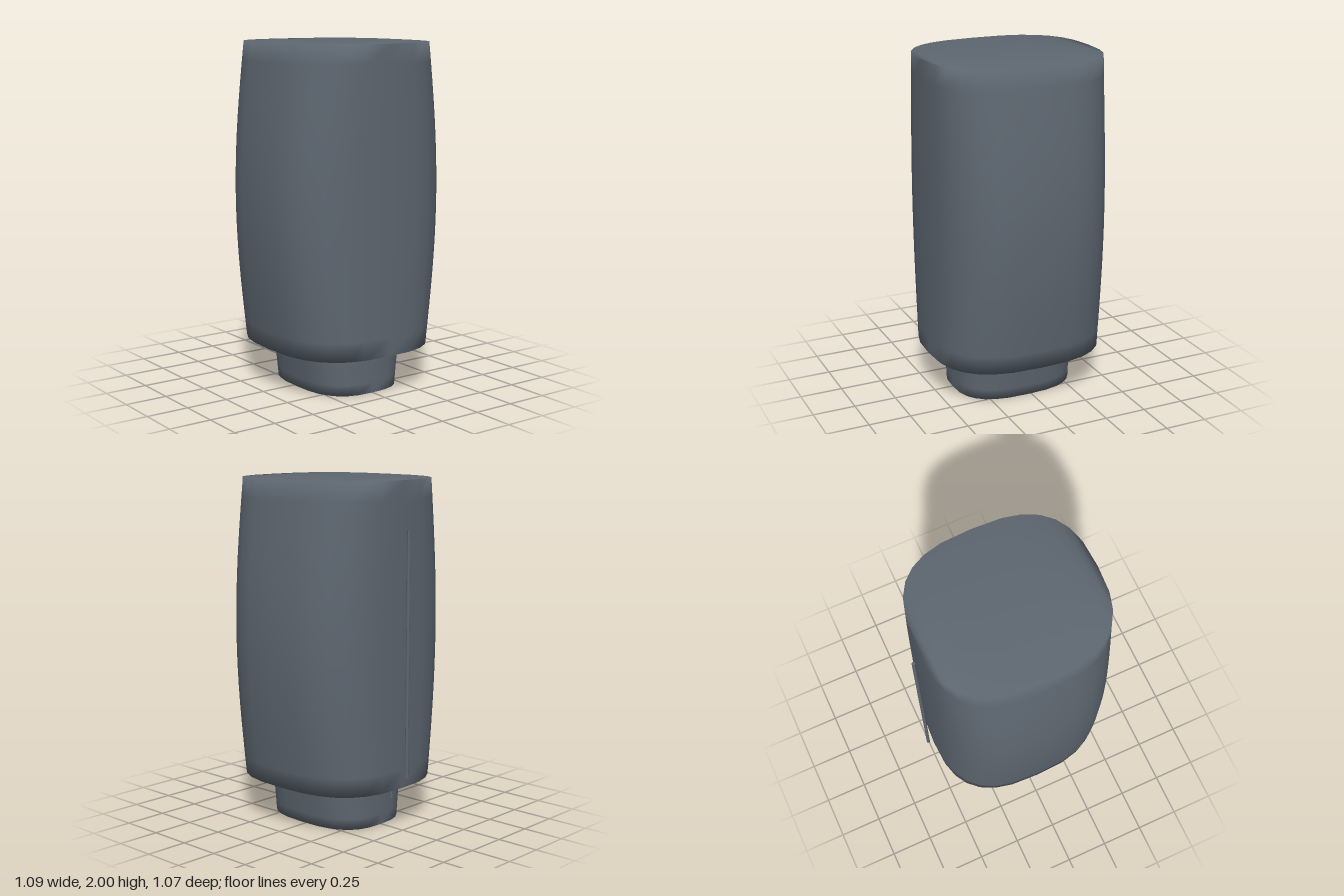
import * as THREE from 'three';

const SIDES = 28;

// Stack of rounded-square rings; caps share vertices with the wall so the rims shade softly.
function roundedColumn(y0, y1, rings, halfWidth, halfDepth) {
  const pos = [], idx = [];
  const soft = (v) => Math.sign(v) * Math.pow(Math.abs(v), 0.716);
  for (let r = 0; r <= rings; r++) {
    const t = r / rings;
    for (let i = 0; i < SIDES; i++) {
      const a = (i / SIDES) * Math.PI * 2;
      pos.push(soft(Math.sin(a)) * halfWidth(t), y0 + (y1 - y0) * t, soft(Math.cos(a)) * halfDepth);
    }
  }
  // Wall
  for (let r = 0; r < rings; r++) {
    for (let i = 0; i < SIDES; i++) {
      const j = (i + 1) % SIDES;
      const a = r * SIDES + i, b = r * SIDES + j;
      idx.push(a, b, b + SIDES, a, b + SIDES, a + SIDES);
    }
  }
  // Flat caps, stitched in rows from front to back
  const top = rings * SIDES;
  const cap = (a, b, c) => {
    idx.push(top + a, top + b, top + c);
    idx.push(a, c, b);
  };
  for (let k = 0; k < SIDES / 2; k++) {
    const l0 = (SIDES - k) % SIDES, l1 = SIDES - k - 1;
    if (k > 0) cap(l0, k, k + 1);
    if (l1 !== k + 1) cap(l0, k + 1, l1);
  }
  const g = new THREE.BufferGeometry();
  g.setAttribute('position', new THREE.Float32BufferAttribute(pos, 3));
  g.setIndex(idx);
  g.computeVertexNormals();
  return g;
}

export function createModel() {
  const model = new THREE.Group();
  const slate = new THREE.MeshStandardMaterial({ color: 0x5e6771 });
  slate.name = 'slate grey';

  const add = (name, geometry, x, y, z) => {
    const mesh = new THREE.Mesh(geometry, slate);
    mesh.name = name;
    mesh.position.set(x, y, z);
    model.add(mesh);
  };

  // Barrel-sided body, bulging in width only
  add('body', roundedColumn(0.25, 2, 16, (t) => 0.467 + 0.08 * Math.sin(Math.PI * t), 0.513), 0, 0, 0.022);

  // Neck tapering down to the base
  add('neck', roundedColumn(0, 0.25, 4, (t) => 0.287 + 0.034 * t, 0.36), 0, 0, 0.025);

  // Thin rods at the back
  add('backRod', new THREE.CylinderGeometry(0.01, 0.01, 1.41, 12), 0, 1.025, -0.525);
  add('lowerPin', new THREE.CylinderGeometry(0.007, 0.007, 0.1, 12), 0, 0.225, -0.414);

  return model;
}
